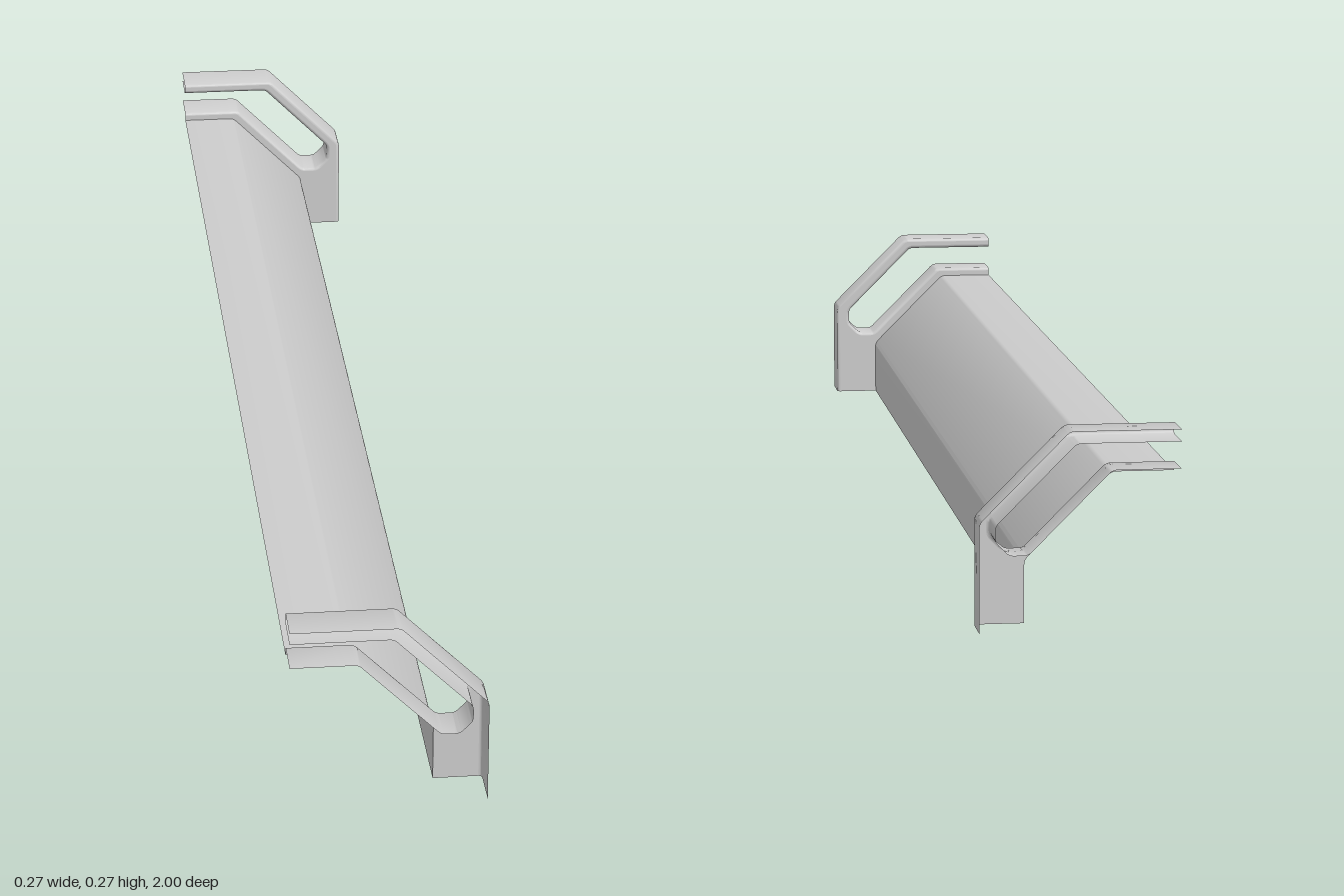
import * as THREE from 'three';
import { toCreasedNormals } from 'three/addons/utils/BufferGeometryUtils.js';

const WALL = 0.94;  // z of the end plates
const END = 1;      // z of the flange tips
const BEND = 0.005; // bend radius at the flange roots

// Polyline with every inner corner rounded
function rounded(points, cut) {
  const p = points.map(([x, y]) => new THREE.Vector2(x, y));
  const out = [p[0]];
  for (let i = 1; i < p.length - 1; i++) {
    const toward = (q) => p[i].clone().add(q.clone().sub(p[i]).setLength(cut));
    const curve = new THREE.QuadraticBezierCurve(toward(p[i - 1]), p[i], toward(p[i + 1]));
    out.push(...curve.getPoints(4));
  }
  out.push(p[p.length - 1]);
  return out;
}

// Shift a polyline sideways (positive = right of travel) with mitred corners
function offset(path, d) {
  const normal = (a, b) => new THREE.Vector2(b.y - a.y, a.x - b.x).normalize();
  return path.map((p, i) => {
    const n0 = normal(path[Math.max(i - 1, 0)], path[Math.max(i, 1)]);
    const last = path.length - 1;
    const n1 = normal(path[Math.min(i, last - 1)], path[Math.min(i + 1, last)]);
    const m = n0.clone().add(n1).normalize();
    return p.clone().addScaledVector(m, d / m.dot(n0));
  });
}

// Surface between successive rows of { path, z }
function loft(rows) {
  const n = rows[0].path.length;
  const pos = [], index = [];
  rows.forEach(({ path, z }) => path.forEach((p) => pos.push(p.x, p.y, z)));
  for (let r = 0; r < rows.length - 1; r++) {
    for (let i = 0; i < n - 1; i++) {
      const a = r * n + i, b = a + 1, c = a + n, d = c + 1;
      index.push(a, c, b, b, c, d);
    }
  }
  const g = new THREE.BufferGeometry();
  g.setAttribute('position', new THREE.Float32BufferAttribute(pos, 3));
  g.setIndex(index);
  return toCreasedNormals(g, 0.6);
}

// Flange standing out from the end plate, with a rounded root
function flange(path, side) {
  const rows = [{ path, z: END }];
  for (let k = 0; k <= 4; k++) {
    const a = (k / 4) * Math.PI / 2;
    rows.push({
      path: offset(path, side * BEND * (1 - Math.cos(a))),
      z: WALL + BEND * (1 - Math.sin(a)),
    });
  }
  return loft(rows);
}

export function createModel() {
  const model = new THREE.Group();
  const material = new THREE.MeshStandardMaterial({ color: 0xcccccc, side: THREE.DoubleSide });
  const add = (parent, name, geometry) => {
    const mesh = new THREE.Mesh(geometry, material);
    mesh.name = name;
    parent.add(mesh);
  };

  const outer = rounded([[-0.133, 0.266], [0.014, 0.266], [0.133, 0.147], [0.133, 0]], 0.006);
  const slot = rounded([[-0.133, 0.25], [0.005, 0.25], [0.112, 0.143], [0.112, 0.121],
    [0.094, 0.103], [0.069, 0.103], [-0.042, 0.214], [-0.133, 0.214]], 0.006);
  const inner = rounded([[0.066, 0], [0.066, 0.085], [-0.05, 0.201], [-0.133, 0.201]], 0.007);

  // Long folded panel between the two ends
  add(model, 'panel', loft([{ path: inner, z: -WALL }, { path: inner, z: WALL }]));

  // End plate with open slot, plus the flanges round its edges; mirrored to the back
  const plate = new THREE.Shape([...offset(outer, BEND), ...inner, ...offset(slot, -BEND).reverse()]);
  const plateGeometry = new THREE.ShapeGeometry(plate).translate(0, 0, WALL);
  const outerFlange = flange(outer, 1);
  const slotFlange = flange(slot, -1);
  for (const side of [1, -1]) {
    const end = new THREE.Group();
    end.name = side > 0 ? 'frontEnd' : 'backEnd';
    add(end, 'endPlate', plateGeometry);
    add(end, 'outerFlange', outerFlange);
    add(end, 'slotFlange', slotFlange);
    end.scale.z = side;
    model.add(end);
  }
  return model;
}
